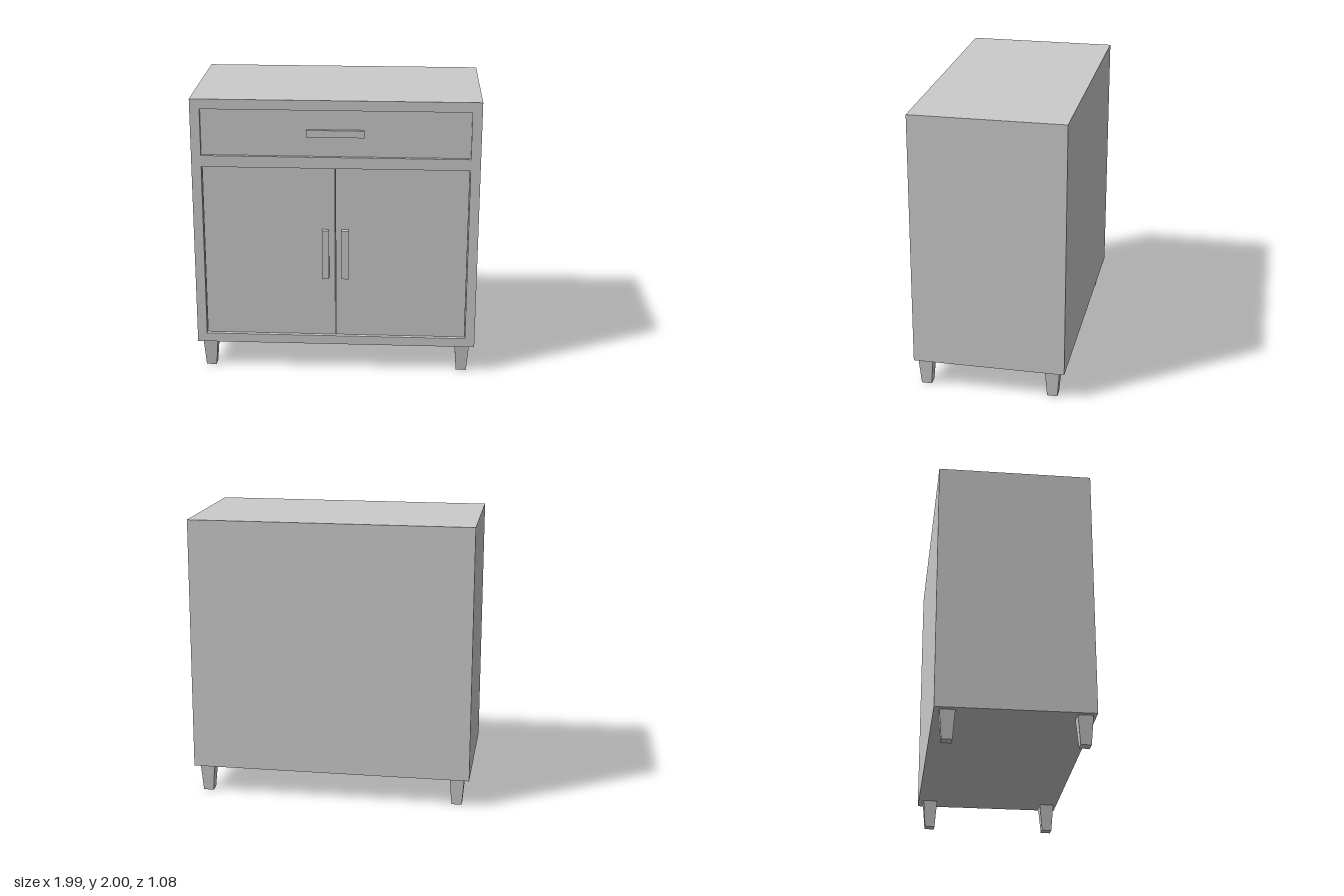
import * as THREE from 'three';

const material = new THREE.MeshStandardMaterial({ color: 0xcccccc, flatShading: true });

function addMesh(parent, name, geometry, x = 0, y = 0, z = 0) {
  const mesh = new THREE.Mesh(geometry, material);
  mesh.name = name;
  mesh.position.set(x, y, z);
  parent.add(mesh);
  return mesh;
}

// Box given by its minimum and maximum on each axis
function addBox(parent, name, [x0, x1], [y0, y1], [z0, z1]) {
  return addMesh(parent, name, new THREE.BoxGeometry(x1 - x0, y1 - y0, z1 - z0),
    (x0 + x1) / 2, (y0 + y1) / 2, (z0 + z1) / 2);
}

function rectangle(Type, x0, x1, y0, y1) {
  return new Type([[x0, y0], [x1, y0], [x1, y1], [x0, y1]].map(([x, y]) => new THREE.Vector2(x, y)));
}

export function createModel() {
  const model = new THREE.Group();
  model.name = 'cabinet';

  const W = 0.995, bottom = 0.2, top = 2;
  const back = -0.54, front = 0.525, frameDepth = 0.05;
  const openX = 0.927, doorY = [0.265, 1.52], drawerY = [1.6, 1.93];
  const gap = 0.004;

  // Carcass behind the face frame
  addBox(model, 'carcass', [-W, W], [bottom, top], [back, front - frameDepth]);

  // Face frame with one opening for the drawer and one for the doors
  const frame = rectangle(THREE.Shape, -W, W, bottom, top);
  for (const range of [doorY, drawerY]) {
    frame.holes.push(rectangle(THREE.Path, -openX, openX, ...range));
  }
  addMesh(model, 'faceFrame',
    new THREE.ExtrudeGeometry(frame, { depth: frameDepth, bevelEnabled: false }),
    0, 0, front - frameDepth);

  // Inset drawer front with its horizontal handle
  const panelBack = front - frameDepth, drawerFace = front - 0.025, doorFace = front - 0.02;
  addBox(model, 'drawerFront', [-openX, openX], drawerY, [panelBack, drawerFace]);
  addBox(model, 'drawerHandle', [-0.2, 0.2], [1.74, 1.79], [drawerFace, front - 0.001]);

  // Pair of inset doors with vertical handles
  for (const [side, s] of [['left', 1], ['right', -1]]) {
    const span = (a, b) => (s > 0 ? [a, b] : [-b, -a]);
    addBox(model, side + 'Door', span(gap / 2, openX - gap),
      [doorY[0] + gap, doorY[1] - gap], [panelBack, doorFace]);
    addBox(model, side + 'DoorHandle', span(0.044, 0.093), [0.71, 1.07], [doorFace, 0.54]);
  }

  // Four square tapered legs
  const leg = new THREE.CylinderGeometry(0.052 * Math.SQRT2, 0.036 * Math.SQRT2, bottom, 4);
  leg.rotateY(Math.PI / 4);
  for (const [zName, z] of [['front', 0.45], ['back', -0.45]]) {
    for (const [xName, x] of [['Left', 0.907], ['Right', -0.907]]) {
      addMesh(model, zName + xName + 'Leg', leg, x, bottom / 2, z);
    }
  }

  return model;
}
